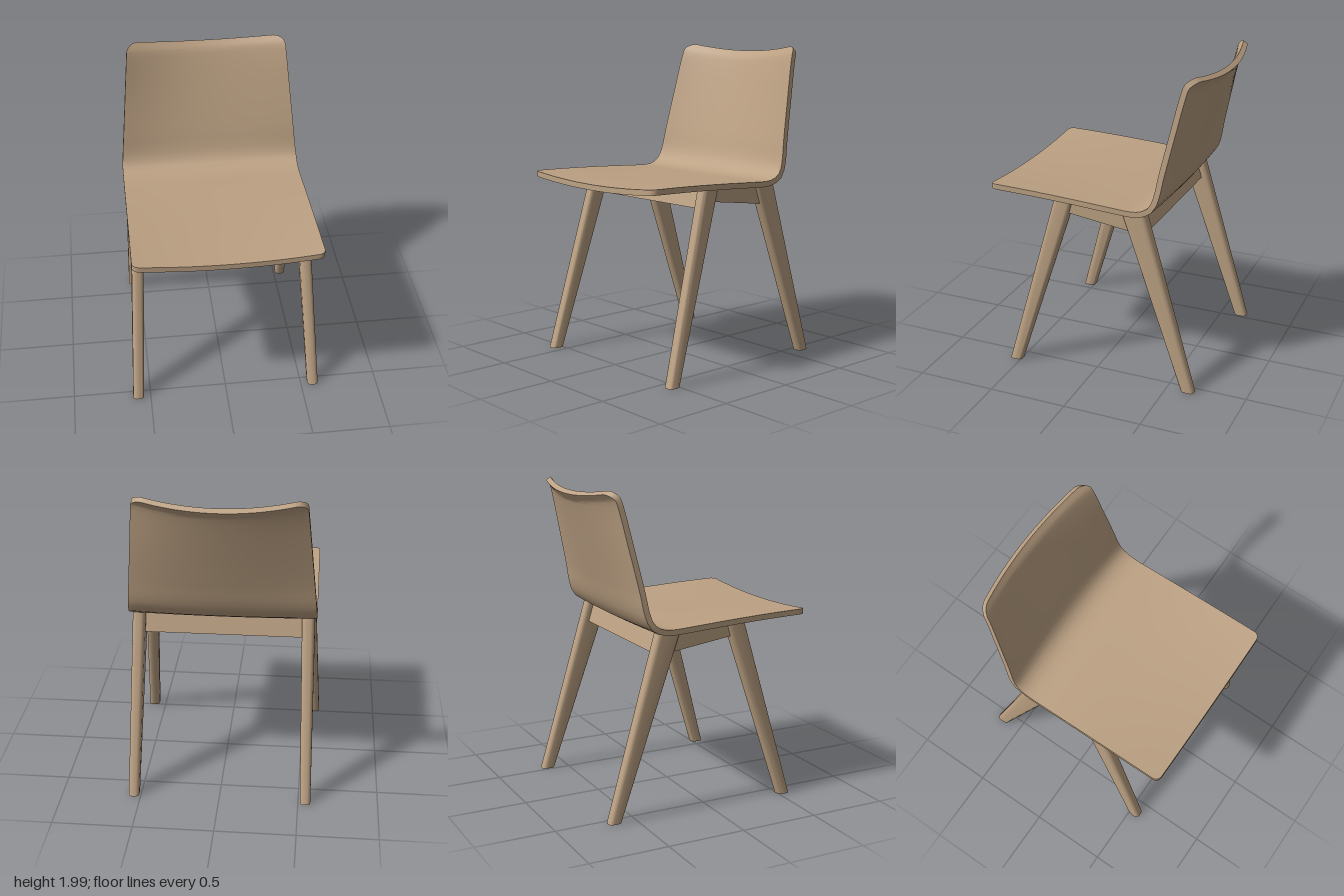
import * as THREE from 'three';
import { toCreasedNormals } from 'three/addons/utils/BufferGeometryUtils.js';

const wood = new THREE.MeshStandardMaterial({ color: 0xbca183 });
wood.name = 'wood';

function indexed(positions, index) {
  const g = new THREE.BufferGeometry();
  g.setAttribute('position', new THREE.Float32BufferAttribute(positions, 3));
  g.setIndex(index);
  return toCreasedNormals(g, 0.7);
}

// Bent seat shell: a side profile swept across the width, dished in the middle
function shellGeometry() {
  // each point holds (dish depth, y, z) along the upper edge, front to back
  const profile = new THREE.CatmullRomCurve3([
    [0.03, 1.2, 0.68], [0.024, 1.193, 0.4], [0.016, 1.18, 0.1], [0.006, 1.166, -0.15],
    [0.005, 1.162, -0.26], [0.008, 1.172, -0.325], [0.014, 1.205, -0.375], [0.022, 1.27, -0.403],
    [0.035, 1.4, -0.428], [0.055, 1.65, -0.483], [0.075, 1.88, -0.535], [0.08, 1.95, -0.556],
    [0.08, 2.0, -0.592],
  ].map((p) => new THREE.Vector3(...p)));
  profile.arcLengthDivisions = 600;
  const length = profile.getLength(), thick = 0.035, rFront = 0.04, rBack = 0.07;

  // rows are denser at the rounded corners
  const rows = [], steps = 6, mid = 44, cols = 24;
  for (let k = 0; k < steps; k++) rows.push(rFront * (1 - Math.cos((k / steps) * Math.PI / 2)));
  for (let k = 0; k <= mid; k++) rows.push(rFront + (length - rFront - rBack) * (k / mid));
  for (let k = steps - 1; k >= 0; k--) rows.push(length - rBack * (1 - Math.cos((k / steps) * Math.PI / 2)));

  const inset = (d, r) => (d >= r ? 0 : r - Math.sqrt(Math.max(0, r * r - (r - d) ** 2)));
  const top = [], bottom = [];
  for (const s of rows) {
    const u = Math.min(1, Math.max(0, s / length));
    const p = profile.getPointAt(u), t = profile.getTangentAt(u);
    const len = Math.hypot(t.y, t.z), ny = -t.z / len, nz = t.y / len;
    const full = 0.58 - 0.075 * Math.max(0, (p.y - 1.2) / 0.8);
    const w = full - inset(s, rFront) - inset(length - s, rBack);
    for (let j = 0; j <= cols; j++) {
      const x = w * (2 * j / cols - 1);
      const dip = p.x * (1 - (x / full) ** 2);
      top.push(x, p.y - ny * dip, p.z - nz * dip);
      bottom.push(x, p.y - ny * (dip + thick), p.z - nz * (dip + thick));
    }
  }
  const n = rows.length - 1, row = cols + 1, under = top.length / 3, index = [];
  for (let i = 0; i < n; i++) {
    for (let j = 0; j < cols; j++) {
      const a = i * row + j, b = a + 1, c = a + row, d = c + 1;
      index.push(a, b, c, b, d, c);
      index.push(a + under, c + under, b + under, b + under, c + under, d + under);
    }
  }
  // rim all the way round
  const loop = [];
  for (let j = 0; j < cols; j++) loop.push(j);
  for (let i = 0; i < n; i++) loop.push(i * row + cols);
  for (let j = cols; j > 0; j--) loop.push(n * row + j);
  for (let i = n; i > 0; i--) loop.push(i * row);
  loop.forEach((p, k) => {
    const q = loop[(k + 1) % loop.length];
    index.push(p + under, q + under, q, p + under, q, p);
  });
  return indexed([...top, ...bottom], index);
}

// Rounded rectangle ring at height y, around [x0, x1, z0, z1]
function ring([x0, x1, z0, z1], y, r) {
  const pts = [], seg = 4;
  const corners = [[x1 - r, z1 - r], [x0 + r, z1 - r], [x0 + r, z0 + r], [x1 - r, z0 + r]];
  corners.forEach(([cx, cz], q) => {
    for (let k = 0; k <= seg; k++) {
      const a = (q + k / seg) * Math.PI / 2;
      pts.push(cx + r * Math.cos(a), y, cz + r * Math.sin(a));
    }
  });
  return pts;
}

// Tapered, splayed leg between a foot outline and a top outline
function legGeometry(foot, head, height) {
  const low = ring(foot, 0, 0.025), high = ring(head, height, 0.028);
  const n = low.length / 3, index = [];
  for (let i = 0; i < n; i++) {
    const j = (i + 1) % n;
    index.push(i, n + i, n + j, i, n + j, j);
    if (i > 0 && i < n - 1) index.push(0, i, i + 1, n, n + i + 1, n + i);
  }
  return indexed([...low, ...high], index);
}

// Cross rail with a top edge that follows the dished seat; lean shears it along the legs
function crossRailGeometry(low, side, middle, z, lean) {
  const w = 0.51, s = new THREE.Shape();
  s.moveTo(-w, low);
  s.lineTo(w, low);
  s.lineTo(w, side);
  s.quadraticCurveTo(0, 2 * middle - side, -w, side);
  const g = new THREE.ExtrudeGeometry(s, { depth: 0.045, bevelEnabled: false, curveSegments: 16 });
  g.translate(0, -low, z - 0.0225);
  g.applyMatrix4(new THREE.Matrix4().makeShear(0, 0, 0, lean, 0, 0));
  const p = g.attributes.position;
  // keep the shear strictly along z, driven by height
  for (let i = 0; i < p.count; i++) p.setY(i, p.getY(i) + low);
  g.computeVertexNormals();
  return g;
}

// Side rail, deeper towards the back
function sideRailGeometry() {
  const s = new THREE.Shape();
  s.moveTo(-0.22, 1.079);
  s.lineTo(0.27, 1.014);
  s.lineTo(0.27, 1.135);
  s.lineTo(-0.22, 1.155);
  const g = new THREE.ExtrudeGeometry(s, { depth: 0.045, bevelEnabled: false });
  g.rotateY(Math.PI / 2); // shape x becomes -z
  return g;
}

export function createModel() {
  const model = new THREE.Group();
  model.name = 'chair';
  const add = (name, geometry) => {
    const m = new THREE.Mesh(geometry, wood);
    m.name = name;
    model.add(m);
    return m;
  };

  add('seatShell', shellGeometry());

  for (const side of [1, -1]) {
    const label = side > 0 ? 'left' : 'right';
    const mirror = ([a, b, c, d]) => (side > 0 ? [a, b, c, d] : [-b, -a, c, d]);
    add(label + 'FrontLeg',
      legGeometry(mirror([0.545, 0.615, 0.495, 0.575]), mirror([0.483, 0.56, 0.13, 0.258]), 1.155));
    add(label + 'BackLeg',
      legGeometry(mirror([0.512, 0.578, -0.68, -0.595]), mirror([0.485, 0.566, -0.345, -0.19]), 1.14));
    add(label + 'SideRail', sideRailGeometry()).position.x = side > 0 ? 0.5 : -0.545;
  }

  add('frontRail', crossRailGeometry(1.034, 1.16, 1.14, 0.225, -0.29));
  add('backRail', crossRailGeometry(1.005, 1.135, 1.13, -0.315, 0.3));
  return model;
}
